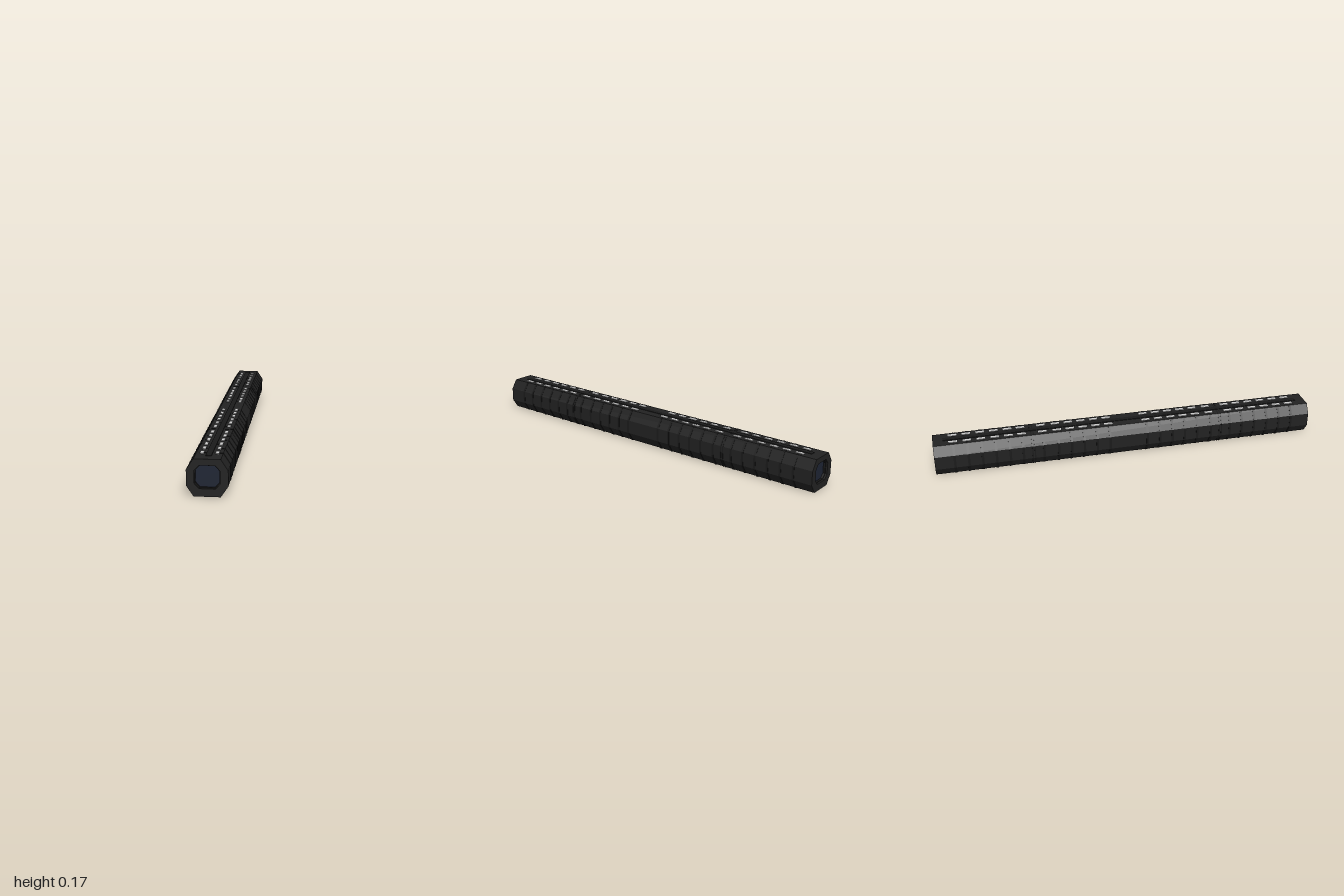
import * as THREE from 'three';

const mat = (color) => new THREE.MeshStandardMaterial({ color, flatShading: true });

// Eight-sided outline: half width at the sides, half width of top and bottom, four heights
function octagon(w, t, y0, y1, y2, y3, Target = THREE.Shape) {
  const half = [[t, y0], [w, y1], [w, y2], [t, y3]];
  const pts = [...half, ...half.slice().reverse().map(([x, y]) => [-x, y])];
  return new Target(pts.map(([x, y]) => new THREE.Vector2(x, y)));
}

function prism(shape, depth, material, name, z = 0) {
  const geo = new THREE.ExtrudeGeometry(shape, { depth, bevelEnabled: false });
  geo.translate(0, 0, z - depth / 2);
  const mesh = new THREE.Mesh(geo, material);
  mesh.name = name;
  return mesh;
}

function box(name, w, h, d, x, y, z, material) {
  const mesh = new THREE.Mesh(new THREE.BoxGeometry(w, h, d), material);
  mesh.position.set(x, y, z);
  mesh.name = name;
  return mesh;
}

export function createModel() {
  const group = new THREE.Group();
  group.name = 'corridor';
  const hull = mat(0x222222);
  const trim = mat(0x1b1b1b);
  const blue = mat(0x1e2433);
  const floor = mat(0x151522);
  const light = mat(0xcccccc);

  // Hollow hull running the full length
  const opening = (Target) => octagon(0.055, 0.035, 0.038, 0.06, 0.118, 0.14, Target);
  const outline = octagon(0.0895, 0.058, 0.003, 0.05, 0.12, 0.168);
  outline.holes.push(opening(THREE.Path));
  group.add(prism(outline, 2, hull, 'hull'));

  // Recessed door and its thin frame at each end
  const frame = opening(THREE.Shape);
  frame.holes.push(octagon(0.051, 0.032, 0.041, 0.062, 0.116, 0.137, THREE.Path));
  for (const s of [-1, 1]) {
    group.add(prism(opening(THREE.Shape), 0.01, blue, 'endDoor', s * 0.975));
    group.add(prism(frame, 0.012, trim, 'doorFrame', s * 0.985));
  }

  // Raised strips along the roof and a plate under the floor
  group.add(box('roofStrip', 0.026, 0.003, 1.9, 0, 0.169, 0, trim));
  group.add(box('floorPlate', 0.108, 0.002, 1.98, 0, 0.0025, 0, floor));

  // Ribs wrapping the sides, with a pair of roof lights at each rib
  const ribShape = octagon(0.091, 0.059, 0.001, 0.05, 0.12, 0.1685);
  ribShape.holes.push(octagon(0.085, 0.055, 0.006, 0.052, 0.118, 0.164, THREE.Path));
  const stations = [0.1, 0.168, 0.236, 0.303, 0.371, 0.447, 0.553, 0.62, 0.69, 0.76, 0.83, 0.9];
  for (const s of [-1, 1]) {
    for (const z of stations) {
      group.add(prism(ribShape, 0.012, trim, 'rib', s * z));
      for (const x of [-0.033, 0.033]) {
        group.add(box('roofLight', 0.016, 0.004, 0.044, x, 0.1685, s * z, light));
      }
    }
    // Joint between two sections
    group.add(prism(ribShape, 0.006, trim, 'sectionJoint', s * 0.494));
    group.add(prism(ribShape, 0.006, trim, 'sectionJoint', s * 0.506));
  }

  return group;
}
